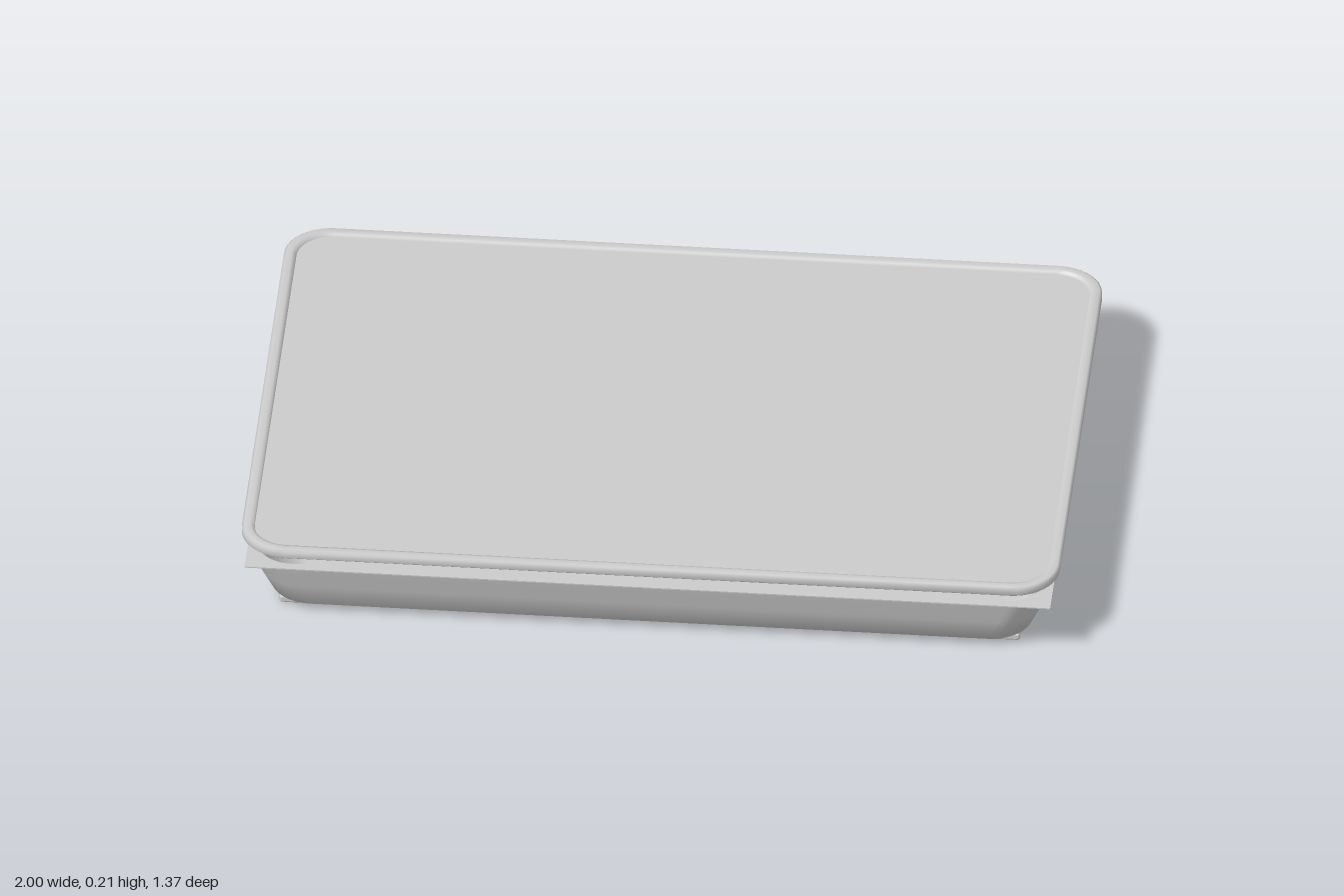
import * as THREE from 'three';
import { RoundedBoxGeometry } from 'three/addons/geometries/RoundedBoxGeometry.js';

const grey = new THREE.MeshStandardMaterial({ color: 0xcccccc });

// Outline of a rectangle with rounded corners, as [x, z] pairs
function outline(hx, hz, r, steps = 10) {
  const pts = [];
  [[1, 1], [-1, 1], [-1, -1], [1, -1]].forEach(([sx, sz], q) => {
    for (let i = 0; i <= steps; i++) {
      const a = (q + i / steps) * Math.PI / 2;
      pts.push([sx * (hx - r) + r * Math.cos(a), sz * (hz - r) + r * Math.sin(a)]);
    }
  });
  return pts;
}

// Smooth skin through rounded rectangles given as [halfX, halfZ, radius, y]
function loft(sections) {
  const pos = [], index = [];
  let n = 0;
  for (const [hx, hz, r, y] of sections) {
    const ring = outline(hx, hz, r);
    n = ring.length;
    ring.forEach(([x, z]) => pos.push(x, y, z));
  }
  for (let s = 0; s < sections.length - 1; s++) {
    for (let i = 0; i < n; i++) {
      const a = s * n + i, b = s * n + (i + 1) % n;
      index.push(a, a + n, b, b, a + n, b + n);
    }
  }
  const g = new THREE.BufferGeometry();
  g.setAttribute('position', new THREE.Float32BufferAttribute(pos, 3));
  g.setIndex(index);
  g.computeVertexNormals();
  return g;
}

// Flat frame or plate lying between y and y + height
function plate(outer, hole, y, height) {
  const toVec = ([x, z]) => new THREE.Vector2(x, -z);
  const shape = new THREE.Shape(outer.map(toVec));
  if (hole) shape.holes.push(new THREE.Path(hole.map(toVec)));
  const g = new THREE.ExtrudeGeometry(shape, { depth: height, bevelEnabled: false });
  return g.rotateX(-Math.PI / 2).translate(0, y, 0);
}

export function createModel() {
  const model = new THREE.Group();
  const add = (name, geometry) => {
    const mesh = new THREE.Mesh(geometry, grey);
    mesh.name = name;
    model.add(mesh);
  };

  // Thin foot under the tray
  add('basePlate', new RoundedBoxGeometry(1.81, 0.02, 1.22, 2, 0.006).translate(0, 0.01, 0));

  // Flared tray: outer skin, inner skin and square-cornered rim
  add('trayOuter', loft([
    [0, 0, 0, 0.02], [0.85, 0.56, 0.06, 0.02], [0.93, 0.636, 0.1, 0.02],
    [0.957, 0.654, 0.1, 0.083], [0.983, 0.67, 0.1, 0.145],
  ]));
  add('trayInner', loft([
    [0.963, 0.65, 0.09, 0.146], [0.937, 0.632, 0.09, 0.09], [0.91, 0.616, 0.09, 0.035],
    [0.85, 0.56, 0.06, 0.032], [0, 0, 0, 0.032],
  ]));
  const square = [[0.985, 0.672], [-0.985, 0.672], [-0.985, -0.672], [0.985, -0.672]];
  add('trayRim', plate(square, outline(0.963, 0.65, 0.09), 0.143, 0.003));

  // Raised lid: rounded border around a slightly sunken panel
  add('lidRim', loft([
    [0.968, 0.653, 0.085, 0.184], [0.996, 0.681, 0.11, 0.184], [1, 0.685, 0.113, 0.188],
    [1, 0.685, 0.113, 0.203], [0.994, 0.679, 0.108, 0.208], [0.98, 0.665, 0.095, 0.208],
    [0.972, 0.657, 0.088, 0.206], [0.968, 0.653, 0.085, 0.198],
  ]));
  add('lidPanel', plate(outline(0.97, 0.655, 0.087), null, 0.188, 0.012));

  return model;
}
